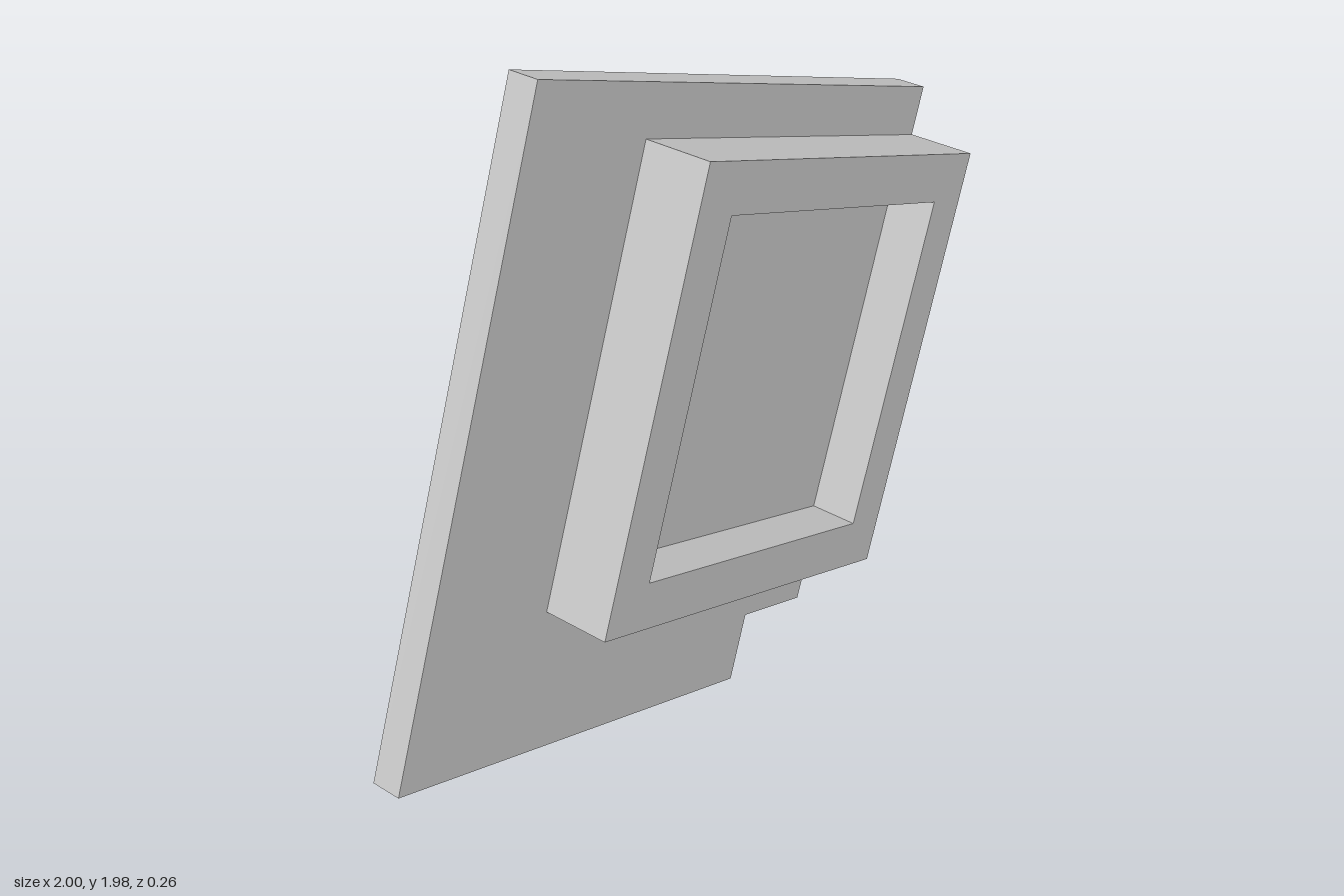
import * as THREE from 'three';

// Outlines in the tilted front plane, counter-clockwise
const plateOutline = [[-0.999, 0.435], [0.21, 0], [0.272, 0.181], [0.51, 0.097], [1, 1.469], [-0.447, 1.982]];
const frameOutline = [[-0.495, 0.656], [0.577, 0.276], [0.959, 1.348], [-0.113, 1.728]];
const recessOutline = [[-0.334, 0.731], [0.502, 0.436], [0.8, 1.271], [-0.037, 1.568]];

// Depths along z
const BACK = -0.13, PLATE_FRONT = -0.05, RECESS_FLOOR = 0, FRAME_FRONT = 0.13;

const toPoints = (outline) => outline.map(([x, y]) => new THREE.Vector2(x, y));

export function createModel() {
  const group = new THREE.Group();
  const grey = new THREE.MeshStandardMaterial({ color: 0xc8c8c8 });
  grey.name = 'light grey';

  function slab(name, outline, z0, z1, hole) {
    const shape = new THREE.Shape(toPoints(outline));
    if (hole) shape.holes.push(new THREE.Path(toPoints(hole)));
    const geometry = new THREE.ExtrudeGeometry(shape, { depth: z1 - z0, bevelEnabled: false });
    geometry.translate(0, 0, z0);
    const mesh = new THREE.Mesh(geometry, grey);
    mesh.name = name;
    group.add(mesh);
  }

  // Notched back plate
  slab('backPlate', plateOutline, BACK, PLATE_FRONT);
  // Raised square frame, flush with one edge of the plate
  slab('raisedFrame', frameOutline, PLATE_FRONT, FRAME_FRONT, recessOutline);
  // Floor of the recess inside the frame
  slab('recessFloor', recessOutline, PLATE_FRONT, RECESS_FLOOR);

  return group;
}
